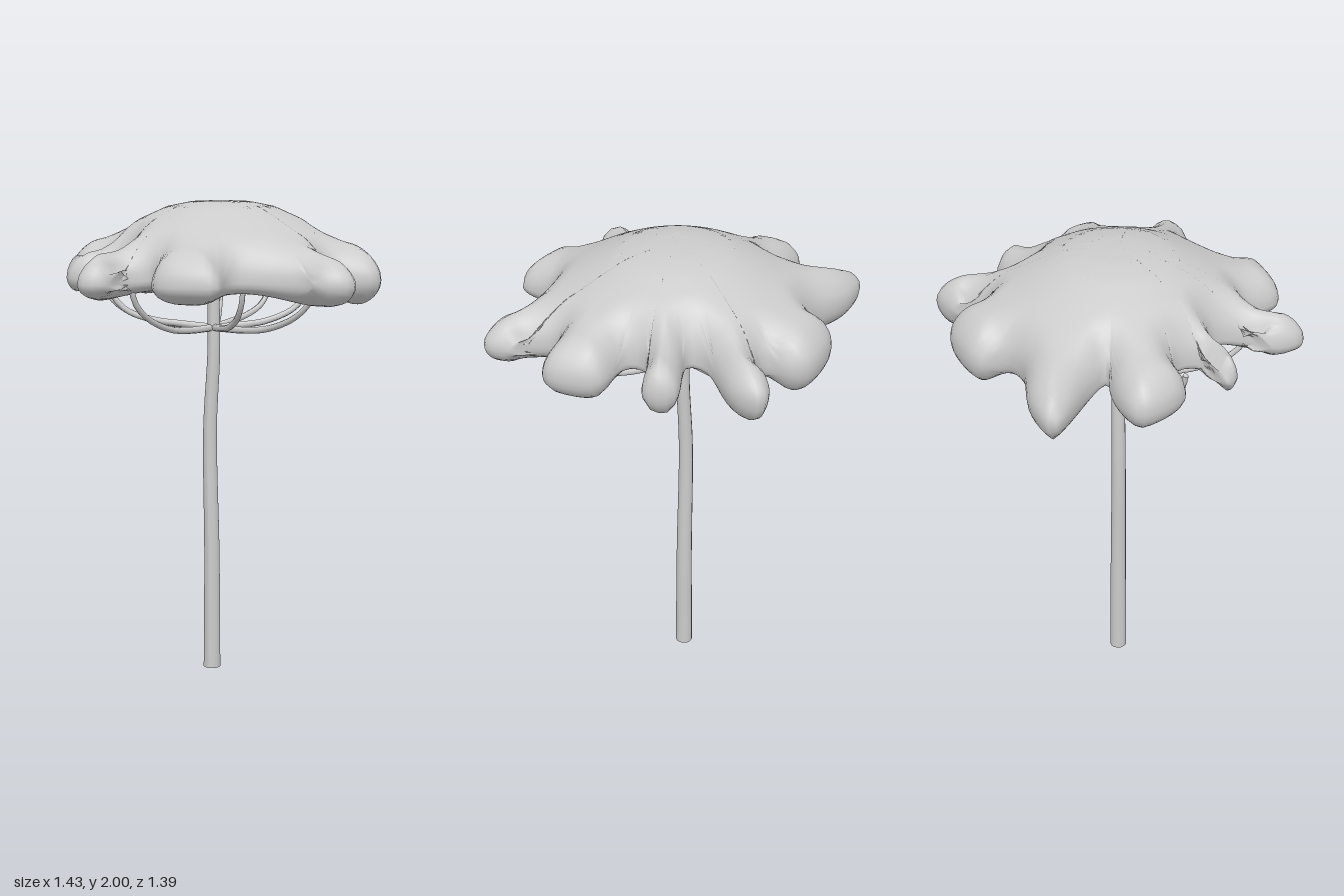
import * as THREE from 'three';
import { mergeVertices } from 'three/addons/utils/BufferGeometryUtils.js';

const material = new THREE.MeshStandardMaterial({ color: 0xcccccc });

// Lobed outline of the canopy seen from above (x, z)
const OUTLINE = [
  [0.69, 0.01], [0.53, 0.11], [0.59, 0.21], [0.66, 0.23], [0.71, 0.33], [0.6, 0.39], [0.52, 0.36],
  [0.27, 0.45], [0.28, 0.62], [0.25, 0.64], [0.04, 0.66], [-0.05, 0.5], [-0.15, 0.54], [-0.18, 0.66],
  [-0.27, 0.69], [-0.31, 0.56], [-0.26, 0.49], [-0.25, 0.37], [-0.28, 0.32], [-0.35, 0.32],
  [-0.42, 0.37], [-0.5, 0.38], [-0.53, 0.34], [-0.4, 0.25], [-0.44, 0.15], [-0.59, 0.17],
  [-0.7, -0.02], [-0.54, -0.1], [-0.46, -0.1], [-0.52, -0.17], [-0.72, -0.33], [-0.59, -0.4],
  [-0.36, -0.41], [-0.27, -0.47], [-0.27, -0.56], [-0.22, -0.61], [-0.05, -0.66], [0.02, -0.62],
  [0.06, -0.52], [0.14, -0.56], [0.16, -0.64], [0.26, -0.7], [0.3, -0.59], [0.24, -0.39],
  [0.27, -0.33], [0.45, -0.44], [0.52, -0.35], [0.4, -0.24], [0.43, -0.165], [0.59, -0.18],
];

// Straight interpolation through [radius, height] pairs
function sample(pairs, r) {
  for (let i = 1; i < pairs.length; i++) {
    const [r0, y0] = pairs[i - 1], [r1, y1] = pairs[i];
    if (r <= r1) return THREE.MathUtils.lerp(y0, y1, (r - r0) / (r1 - r0));
  }
  return pairs[pairs.length - 1][1];
}
const DOME = [[0, 2], [0.12, 1.995], [0.22, 1.975], [0.32, 1.93], [0.42, 1.88], [0.52, 1.84], [0.65, 1.81], [0.8, 1.77]];

// Canopy: rings shrunk from the outline, rounded off by distance to the edge
function canopyGeometry() {
  const columns = 200, rings = 26, rimY = 1.71, bevel = 0.12;
  const curve = new THREE.CatmullRomCurve3(
    OUTLINE.map(([x, z]) => new THREE.Vector3(x, 0, z)), true, 'centripetal');
  const edge = curve.getSpacedPoints(columns).slice(0, columns);
  const segment = new THREE.Line3(), nearest = new THREE.Vector3();
  const edgeDistance = (p) => {
    let best = Infinity;
    edge.forEach((a, i) => {
      segment.set(a, edge[(i + 1) % columns]);
      segment.closestPointToPoint(p, true, nearest);
      best = Math.min(best, nearest.distanceTo(p));
    });
    return best;
  };

  const positions = [], index = [];
  for (let j = 0; j <= 2 * rings; j++) {
    const u = (j <= rings ? j : 2 * rings - j) / rings;
    const t = 1 - Math.pow(1 - u, 1.5);
    for (const e of edge) {
      const p = e.clone().multiplyScalar(t);
      const r = p.length();
      const k = 1 - Math.min(edgeDistance(p) / bevel, 1);
      const round = Math.sqrt(1 - k * k);
      const droop = THREE.MathUtils.smoothstep(r, 0.38, 0.6);
      const limit = j <= rings ? sample(DOME, r) : 1.66 + droop * (-0.07 + 0.05 * p.z);
      positions.push(p.x, THREE.MathUtils.lerp(rimY - 0.02 * droop, limit, round), p.z);
    }
  }
  for (let j = 0; j < 2 * rings; j++) {
    for (let i = 0; i < columns; i++) {
      const n = (i + 1) % columns;
      const a = j * columns + i, b = j * columns + n;
      const c = a + columns, d = b + columns;
      if (j > 0) index.push(a, b, c);
      if (j < 2 * rings - 1) index.push(b, d, c);
    }
  }
  let geometry = new THREE.BufferGeometry();
  geometry.setAttribute('position', new THREE.Float32BufferAttribute(positions, 3));
  geometry.setIndex(index);
  geometry = mergeVertices(geometry, 1e-5);
  geometry.computeVertexNormals();
  return geometry;
}

// Tapered round limb along a list of points, closed at both ends
function limb(name, points, r0, r1, sides, steps) {
  const curve = new THREE.CatmullRomCurve3(points.map((p) => new THREE.Vector3(...p)));
  const geometry = new THREE.TubeGeometry(curve, steps, 1, sides);
  const pos = geometry.attributes.position, v = new THREE.Vector3();
  for (let i = 0; i < pos.count; i++) {
    const t = Math.floor(i / (sides + 1)) / steps;
    const centre = curve.getPointAt(t);
    v.fromBufferAttribute(pos, i).sub(centre).multiplyScalar(THREE.MathUtils.lerp(r0, r1, t)).add(centre);
    pos.setXYZ(i, v.x, v.y, v.z);
  }
  geometry.computeVertexNormals();
  const group = new THREE.Group();
  group.name = name;
  group.add(new THREE.Mesh(geometry, material));
  [[0, r0, -1], [1, r1, 1]].forEach(([t, r, sign]) => {
    const cap = new THREE.Mesh(new THREE.CircleGeometry(r, sides), material);
    cap.position.copy(curve.getPointAt(t));
    cap.quaternion.setFromUnitVectors(new THREE.Vector3(0, 0, 1), curve.getTangentAt(t).multiplyScalar(sign));
    group.add(cap);
  });
  group.children.forEach((m, i) => { m.name = name + (i ? 'Cap' : 'Surface'); });
  return group;
}

export function createModel() {
  const model = new THREE.Group();
  model.name = 'tree';

  const canopy = new THREE.Mesh(canopyGeometry(), material);
  canopy.name = 'canopy';
  model.add(canopy);

  // Slightly bent trunk
  model.add(limb('trunk', [
    [-0.042, 0, 0], [-0.042, 0.5, 0], [-0.05, 1.05, 0], [-0.032, 1.38, 0], [-0.035, 1.68, 0],
  ], 0.037, 0.025, 14, 24));

  // Branches spread flat from the hub, then curve up into the canopy
  const hub = [-0.033, 0];
  const ends = [
    [0.48, 0.16], [0.29, -0.27], [0.03, -0.45], [-0.19, -0.4],
    [-0.53, 0.06], [-0.42, 0.2], [-0.15, 0.49], [0.24, 0.3],
  ];
  ends.forEach(([x, z], i) => {
    const at = (t, y) => [hub[0] + (x - hub[0]) * t, y, hub[1] + (z - hub[1]) * t];
    const low = 1.475 + (i % 3) * 0.008;
    model.add(limb('branch' + (i + 1), [
      at(0, 1.475), at(0.3, low), at(0.55, low + 0.015), at(0.82, 1.545), at(0.96, 1.61), at(1.0, 1.67),
    ], 0.015, 0.011, 8, 16));
  });

  return model;
}
